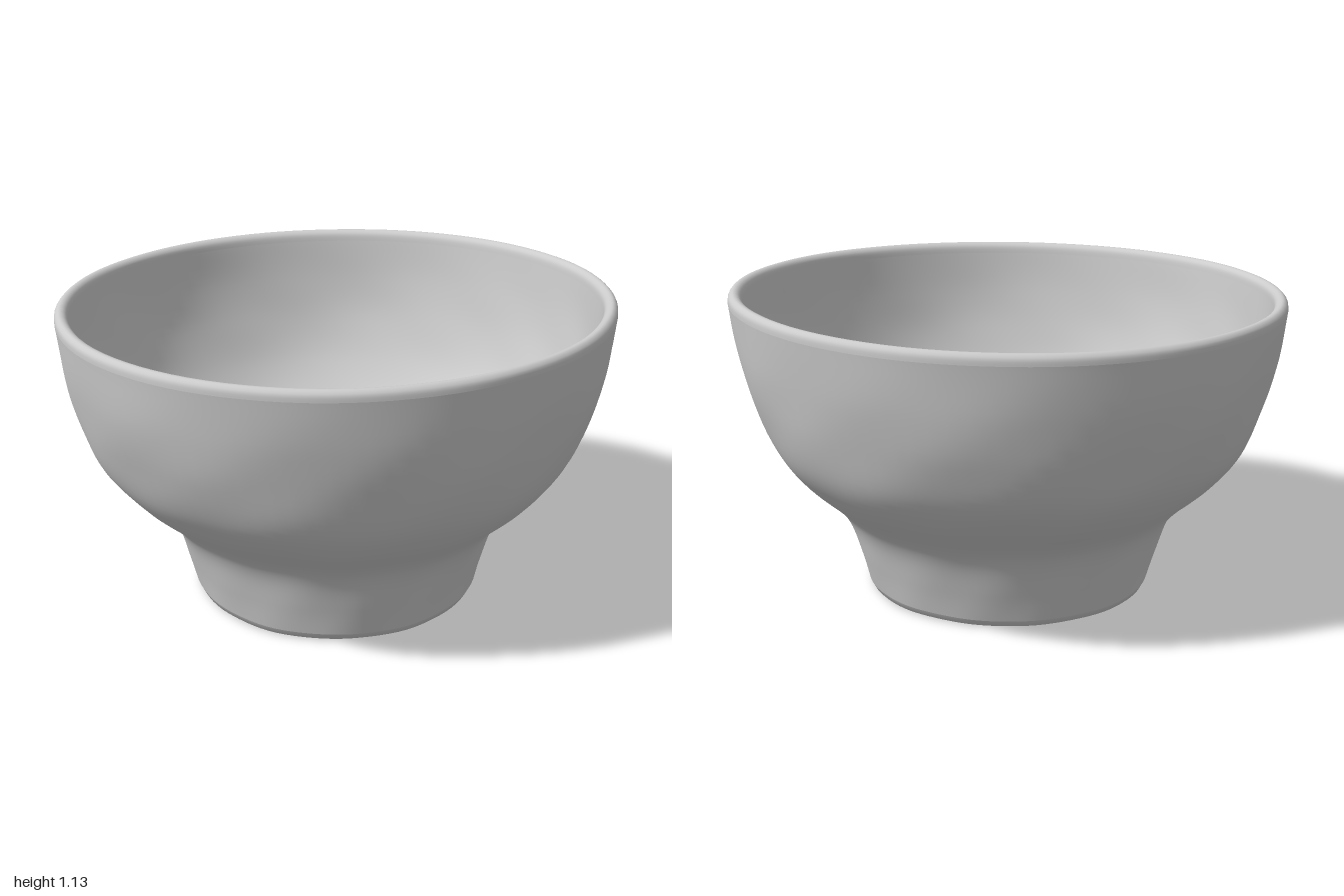
import * as THREE from 'three';

// Smooth profile through a few (radius, height) points
function smoothProfile(points, samples) {
  return new THREE.SplineCurve(points.map(([r, y]) => new THREE.Vector2(r, y))).getPoints(samples);
}

// Hand-made unevenness: a gentle ripple around and up the wall
function wobble(angle, y) {
  return 0.005 * Math.sin(3 * angle + 4 * y) + 0.003 * Math.sin(7 * angle - 9 * y)
    + 0.002 * Math.sin(13 * angle + 17 * y);
}

// Lathe a profile, then shift it slightly off true and tilt the rim
function handThrown(profile, material, name) {
  const geometry = new THREE.LatheGeometry(profile, 96);
  const p = geometry.attributes.position;
  for (let i = 0; i < p.count; i++) {
    const x = p.getX(i), y = p.getY(i), z = p.getZ(i);
    const r = Math.hypot(x, z);
    const fade = Math.min(1, r / 0.4) * (1 - 0.75 * Math.max(0, Math.min(1, (y - 0.75) / 0.3)));
    const k = 1 + wobble(Math.atan2(z, x), y) * fade;
    const lift = Math.max(0, y - 0.3) / 0.8;
    const low = Math.max(0, 1 - y / 0.6);
    p.setXYZ(i,
      x * k - 0.008 * low,
      y + lift * (0.009 * x + 0.01 * z + 0.003 * Math.sin(2 * Math.atan2(z, x))),
      z * k + 0.008 * low);
  }
  geometry.computeVertexNormals();
  // Share normals across the lathe seam
  const n = geometry.attributes.normal;
  const row = profile.length;
  for (let j = 0; j < row; j++) {
    const last = p.count - row + j;
    const v = new THREE.Vector3().fromBufferAttribute(n, j)
      .add(new THREE.Vector3().fromBufferAttribute(n, last)).normalize();
    n.setXYZ(j, v.x, v.y, v.z);
    n.setXYZ(last, v.x, v.y, v.z);
  }
  const mesh = new THREE.Mesh(geometry, material);
  mesh.name = name;
  return mesh;
}

export function createModel() {
  const bowl = new THREE.Group();
  bowl.name = 'bowl';
  const clay = new THREE.MeshStandardMaterial({ color: 0xcccccc, side: THREE.DoubleSide });

  // Flat underside with a softened edge
  const underside = [[0.0001, 0.006], [0.25, 0.006], [0.5, 0.006], [0.52, 0.012], [0.532, 0.035]]
    .map(([r, y]) => new THREE.Vector2(r, y));
  bowl.add(handThrown(underside, clay, 'footBase'));

  // Flared foot, shoulder and outer wall
  const outer = smoothProfile([
    [0.532, 0.035], [0.56, 0.14], [0.6, 0.265], [0.655, 0.345], [0.775, 0.455],
    [0.87, 0.575], [0.932, 0.73], [0.974, 0.9], [0.998, 1.08],
  ], 48);
  bowl.add(handThrown(outer, clay, 'outerWall'));

  // Rounded lip
  const lip = smoothProfile([
    [0.998, 1.08], [0.996, 1.102], [0.982, 1.116], [0.965, 1.114], [0.952, 1.1], [0.948, 1.075],
  ], 16);
  bowl.add(handThrown(lip, clay, 'rim'));

  // Inner wall curving down to a shallow floor
  const inner = smoothProfile([
    [0.948, 1.075], [0.927, 0.92], [0.888, 0.76], [0.82, 0.6], [0.715, 0.465],
    [0.57, 0.355], [0.4, 0.3], [0.2, 0.28], [0.0001, 0.275],
  ], 48);
  bowl.add(handThrown(inner, clay, 'innerWall'));

  return bowl;
}
